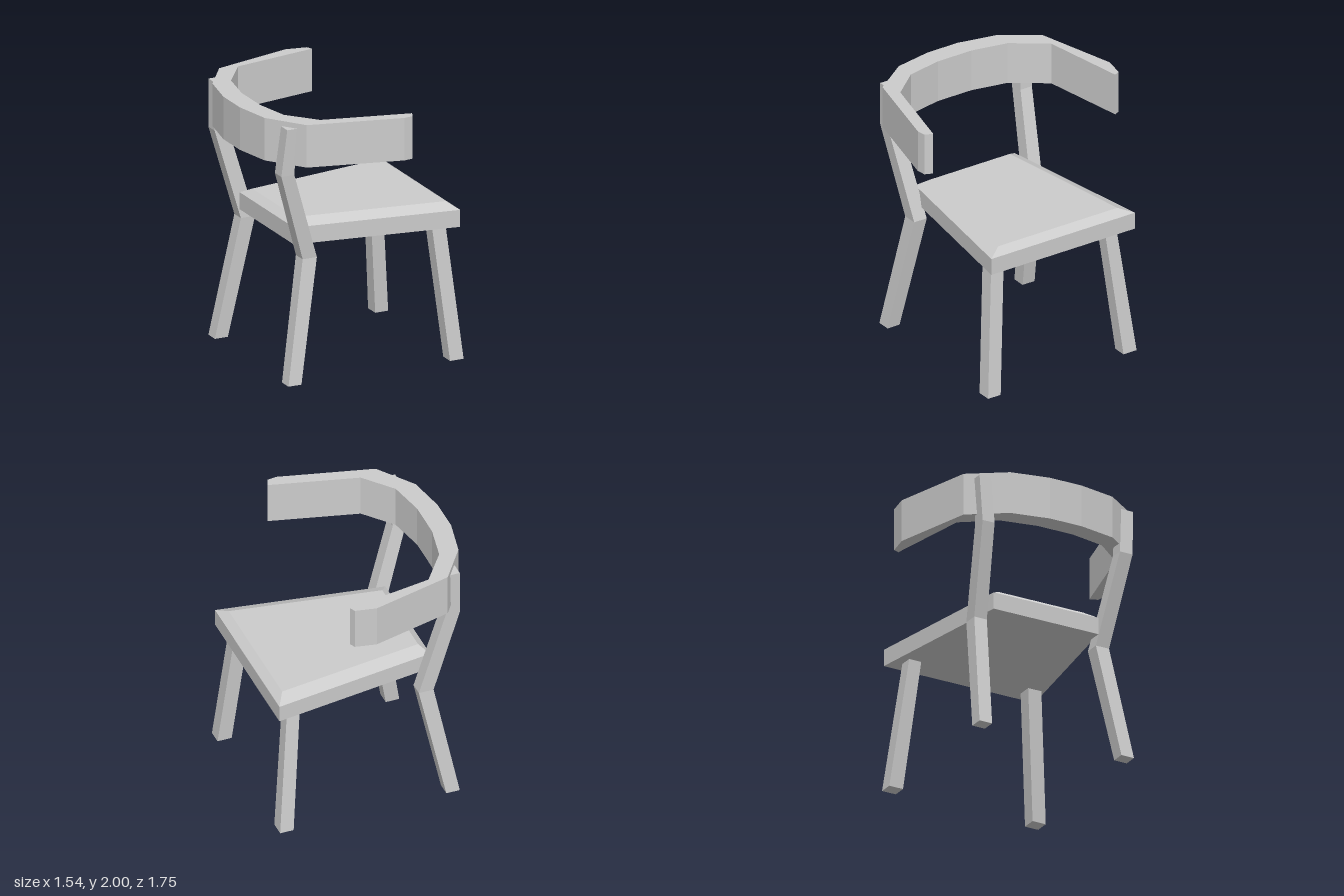
import * as THREE from 'three';

const material = new THREE.MeshStandardMaterial({ color: 0xcccccc, flatShading: true });

// Closed solid through four-cornered level rings: [y, [x, z] x 4], bottom to top
function loft(name, rings) {
  const pos = [];
  const point = (r, i) => [rings[r][1][i % 4][0], rings[r][0], rings[r][1][i % 4][1]];
  const quad = (a, b, c, d) => pos.push(...a, ...b, ...c, ...a, ...c, ...d);
  for (let r = 0; r < rings.length - 1; r++) {
    for (let i = 0; i < 4; i++) {
      quad(point(r, i), point(r, i + 1), point(r + 1, i + 1), point(r + 1, i));
    }
  }
  const top = rings.length - 1;
  quad(point(0, 3), point(0, 2), point(0, 1), point(0, 0));
  quad(point(top, 0), point(top, 1), point(top, 2), point(top, 3));
  const geometry = new THREE.BufferGeometry();
  geometry.setAttribute('position', new THREE.Float32BufferAttribute(pos, 3));
  geometry.computeVertexNormals();
  const mesh = new THREE.Mesh(geometry, material);
  mesh.name = name;
  return mesh;
}

// Level ring with straight back (x0) and front (x1) edges
const trapezoid = (x0, x1, b0, b1, f0, f1) => [[x0, b0], [x0, b1], [x1, f1], [x1, f0]];

// Leg from level sections: [y, x0, x1, z0, z1]
const leg = (name, sections) =>
  loft(name, sections.map(([y, x0, x1, z0, z1]) => [y, trapezoid(x0, x1, z0, z1, z0, z1)]));

export function createModel() {
  const chair = new THREE.Group();
  chair.name = 'chair';

  // Tapered seat with a bevelled upper edge
  const rim = trapezoid(-0.49, 0.76, -0.445, 0.43, -0.64, 0.62);
  chair.add(loft('seat', [
    [1.0, rim],
    [1.13, rim],
    [1.175, trapezoid(-0.43, 0.695, -0.36, 0.34, -0.53, 0.515)],
  ]));

  // Splayed front legs
  chair.add(leg('frontLegLeft', [
    [0, 0.66, 0.77, 0.545, 0.655],
    [1.02, 0.56, 0.67, 0.45, 0.56],
  ]));
  chair.add(leg('frontLegRight', [
    [0, 0.655, 0.76, -0.655, -0.54],
    [1.02, 0.56, 0.66, -0.54, -0.44],
  ]));

  // Bent back legs rising to the backrest
  chair.add(leg('backLegLeft', [
    [0, -0.64, -0.535, 0.535, 0.64],
    [0.915, -0.47, -0.355, 0.42, 0.53],
    [1.6, -0.68, -0.575, 0.5, 0.605],
    [1.96, -0.645, -0.565, 0.53, 0.63],
  ]));
  chair.add(leg('backLegRight', [
    [0, -0.64, -0.535, -0.65, -0.545],
    [0.915, -0.46, -0.345, -0.59, -0.485],
    [1.6, -0.65, -0.54, -0.63, -0.53],
    [1.96, -0.64, -0.56, -0.65, -0.55],
  ]));

  // Curved backrest with arms: faceted outline in x, z
  const outline = [
    [0.275, -0.8], [0.255, -0.845], [0.095, -0.875], [-0.52, -0.715],
    [-0.715, -0.435], [-0.775, -0.14], [-0.775, 0.125], [-0.72, 0.415],
    [-0.52, 0.695], [0.185, 0.87], [0.255, 0.86], [0.28, 0.8],
    [-0.38, 0.635], [-0.565, 0.415], [-0.62, 0.14], [-0.62, -0.155],
    [-0.565, -0.435], [-0.38, -0.69],
  ];
  const shape = new THREE.Shape(outline.map(([x, z]) => new THREE.Vector2(x, -z)));
  const geometry = new THREE.ExtrudeGeometry(shape, { depth: 0.325, bevelEnabled: false });
  geometry.rotateX(-Math.PI / 2).translate(0, 1.675, 0);
  const backrest = new THREE.Mesh(geometry, material);
  backrest.name = 'backrest';
  chair.add(backrest);

  return chair;
}
